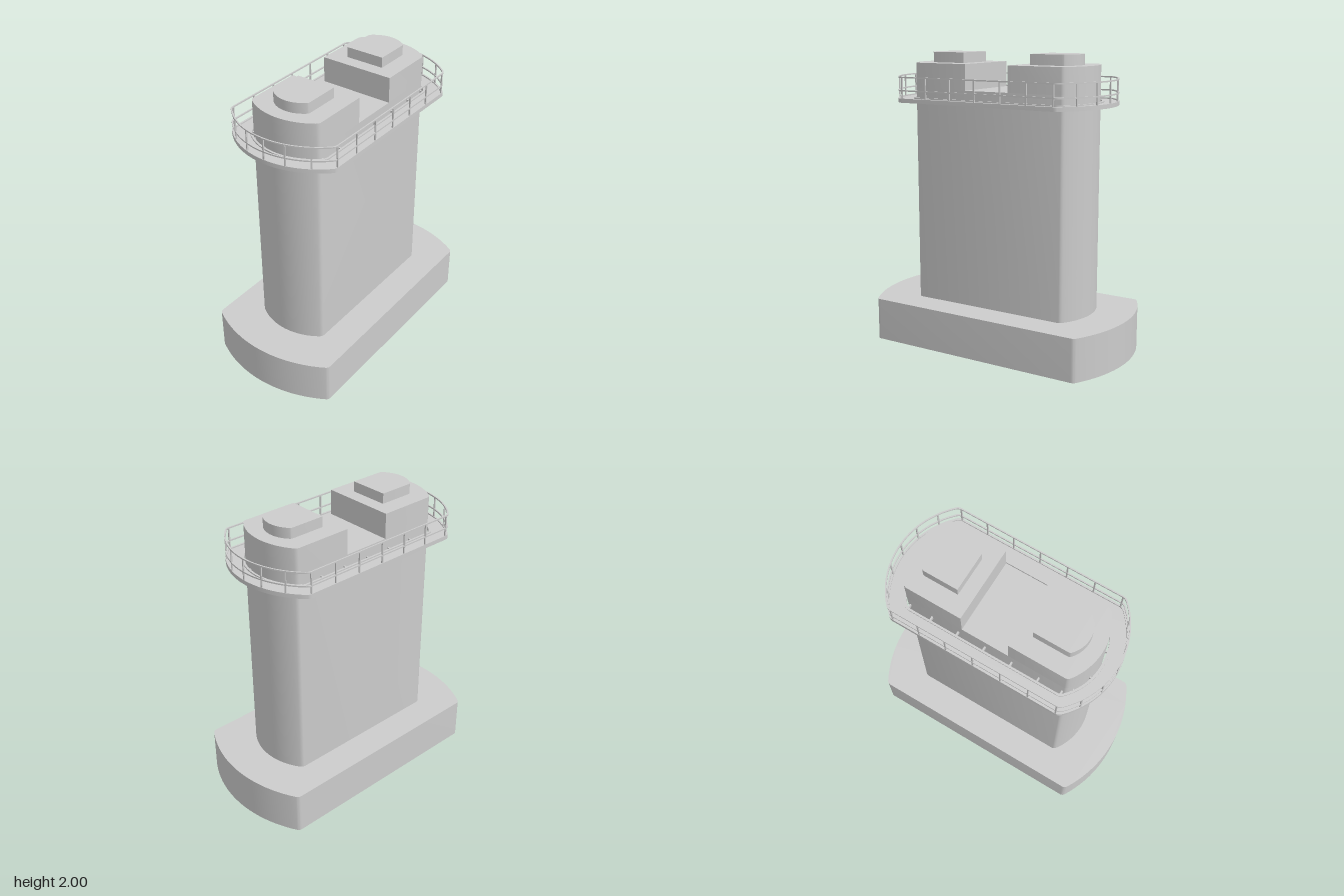
import * as THREE from 'three';
import { toCreasedNormals } from 'three/addons/utils/BufferGeometryUtils.js';

const material = new THREE.MeshStandardMaterial({ color: 0xcccccc });

// Bowed end: straight sides run to x = xc at z = +-Z, the bow reaches x = X.
function bow(X, xc, Z) {
  const s = X - xc;
  const R = (Z * Z + s * s) / (2 * s);
  return { R, cx: X - R, a: Math.asin(Z / R) };
}

// Points of the bowed end with small rounded corners r, from -Z to +Z.
function endPoints(X, xc, Z, r) {
  const { R, cx, a } = bow(X, xc, Z);
  const b = a - r / R;
  const on = (t) => new THREE.Vector2(cx + R * Math.cos(t), R * Math.sin(t));
  const corner = (sign) => new THREE.QuadraticBezierCurve(
    new THREE.Vector2(xc - r, sign * Z), new THREE.Vector2(xc, sign * Z), on(sign * b)).getPoints(4);
  const points = corner(-1);
  for (let i = 1; i < 20; i++) points.push(on(-b + (2 * b * i) / 20));
  return points.concat(corner(1).reverse());
}

// Plan outline with two bowed ends.
function outline(X, xc, Z, r = 0.02) {
  const end = endPoints(X, xc, Z, r);
  return end.concat(end.map((p) => new THREE.Vector2(-p.x, -p.y)));
}

// Plan outline with one bowed end and a flat inner face at x0.
function halfOutline(x0, X, xc, Z, r = 0.01) {
  return endPoints(X, xc, Z, r).concat([new THREE.Vector2(x0, Z), new THREE.Vector2(x0, -Z)]);
}

// Extrude a plan outline upwards from y0 to y1.
function slab(name, points, y0, y1, hole) {
  const shape = new THREE.Shape(points);
  if (hole) shape.holes.push(new THREE.Path(hole));
  const geometry = new THREE.ExtrudeGeometry(shape, { depth: y1 - y0, bevelEnabled: false });
  geometry.rotateX(-Math.PI / 2).translate(0, y0, 0);
  const mesh = new THREE.Mesh(toCreasedNormals(geometry, 0.5), material);
  mesh.name = name;
  return mesh;
}

// Closed band of width w whose outer edge is the given outline.
function ring(name, X, xc, Z, w, y0, y1) {
  return slab(name, outline(X, xc, Z), y0, y1, outline(X - w, xc - w * 0.5, Z - w));
}

// Place an item at every station around the walkway: callback(x, z, angle).
function around(X, xc, Z, xs, zs, callback) {
  const { R, cx } = bow(X, xc, Z);
  for (const side of [-1, 1]) {
    for (const x of xs) callback(x, side * Z, side * Math.PI / 2);
    for (const z of zs) {
      const t = Math.asin(z / R);
      callback(side * (cx + R * Math.cos(t)), z, side > 0 ? t : Math.PI - t);
    }
  }
}

export function createModel() {
  const model = new THREE.Group();
  model.name = 'bridgePier';

  // Footing and shaft
  model.add(slab('footing', outline(0.91, 0.775, 0.47), 0, 0.29));
  model.add(slab('shaft', outline(0.65, 0.56, 0.258), 0.29, 1.757));

  // Twin raised heads with bearing blocks
  for (const side of [1, -1]) {
    const head = new THREE.Group();
    head.name = side > 0 ? 'leftHead' : 'rightHead';
    head.add(slab('headBlock', halfOutline(0.163, 0.65, 0.56, 0.258, 0.02), 1.757, 1.93));
    head.add(slab('bearingBlock', halfOutline(0.257, 0.557, 0.5, 0.136), 1.93, 2));
    if (side < 0) head.rotation.y = Math.PI;
    model.add(head);
  }

  // Walkway deck with edge beams
  const walkway = new THREE.Group();
  walkway.name = 'walkway';
  walkway.add(ring('deck', 0.765, 0.592, 0.4, 0.105, 1.681, 1.69));
  walkway.add(ring('outerEdgeBeam', 0.77, 0.595, 0.405, 0.012, 1.67, 1.698));
  walkway.add(ring('innerEdgeBeam', 0.678, 0.547, 0.301, 0.014, 1.67, 1.698));
  model.add(walkway);

  // Brackets joining the deck to the shaft
  const bracketGeometry = new THREE.BoxGeometry(0.06, 0.025, 0.01);
  around(0.665, 0.55, 0.275, [-0.54, -0.38, -0.19, 0, 0.19, 0.38, 0.54], [-0.22, -0.1, 0.1, 0.22],
    (x, z, angle) => {
      const bracket = new THREE.Mesh(bracketGeometry, material);
      bracket.name = 'bracket';
      bracket.position.set(x, 1.677, z);
      bracket.rotation.y = -angle;
      walkway.add(bracket);
    });

  // Railing
  const railing = new THREE.Group();
  railing.name = 'railing';
  for (const y of [1.75, 1.838]) railing.add(ring('rail', 0.768, 0.594, 0.403, 0.009, y - 0.0045, y + 0.0045));
  const postGeometry = new THREE.BoxGeometry(0.009, 0.152, 0.009);
  around(0.7635, 0.592, 0.3985, [-0.575, -0.383, -0.192, 0, 0.192, 0.383, 0.575], [-0.29, -0.145, 0, 0.145, 0.29],
    (x, z, angle) => {
      const post = new THREE.Mesh(postGeometry, material);
      post.name = 'post';
      post.position.set(x, 1.762, z);
      post.rotation.y = -angle;
      railing.add(post);
    });
  model.add(railing);

  return model;
}
